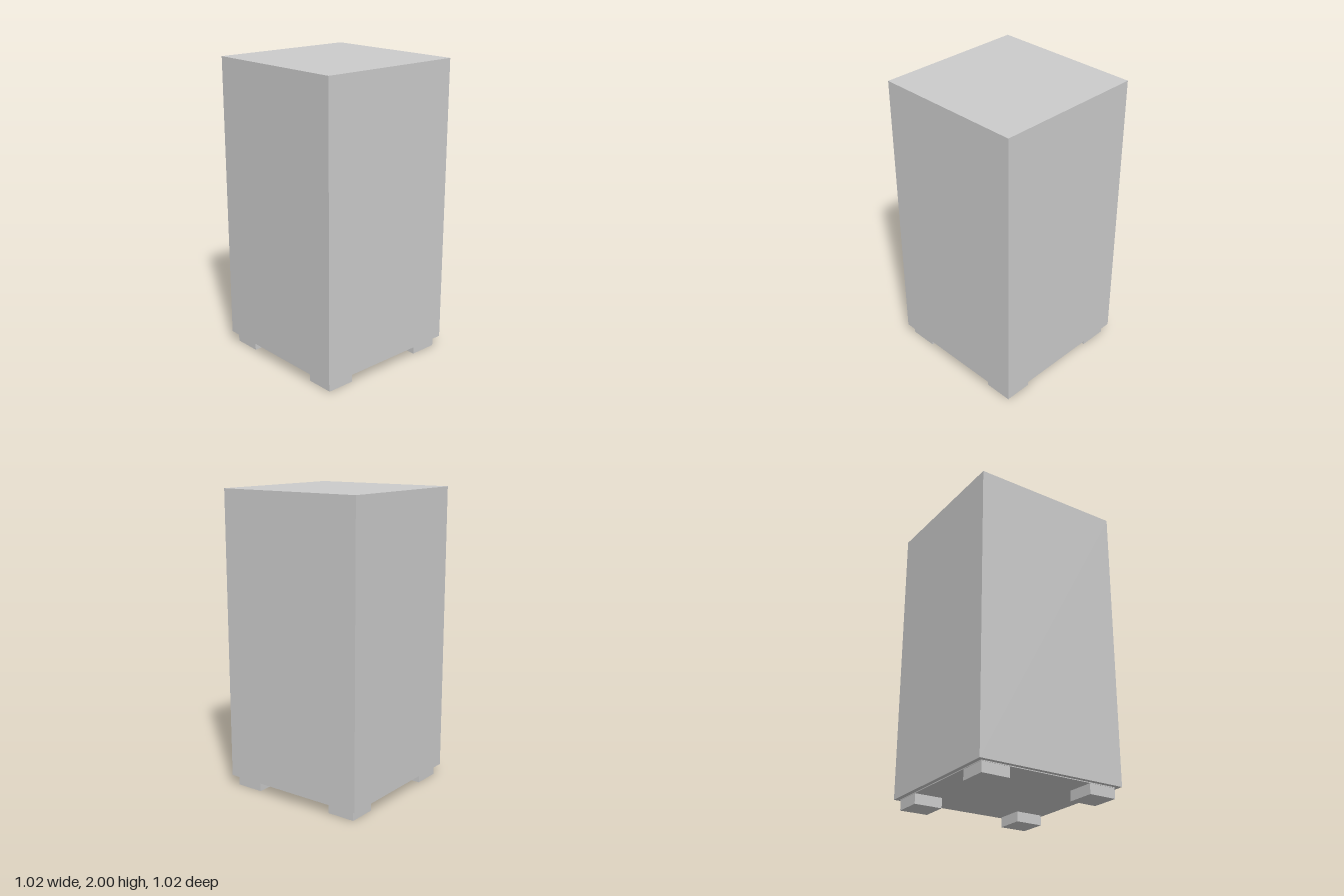
import * as THREE from 'three';

const material = new THREE.MeshStandardMaterial({ color: 0xcccccc, flatShading: true });

// Box given by its width (square plan), bottom and top heights
function block(name, width, bottom, top, x = 0, z = 0) {
  const mesh = new THREE.Mesh(new THREE.BoxGeometry(width, top - bottom, width), material);
  mesh.position.set(x, (bottom + top) / 2, z);
  mesh.name = name;
  return mesh;
}

export function createModel() {
  const model = new THREE.Group();
  model.name = 'pedestal';

  // Tall square body with a thin inset plate underneath
  model.add(block('body', 1.024, 0.072, 2));
  model.add(block('basePlate', 0.965, 0.067, 0.08));

  // Four square feet, one near each corner
  const feet = new THREE.Group();
  feet.name = 'feet';
  for (const x of [-1, 1]) {
    for (const z of [-1, 1]) {
      const name = `${z > 0 ? 'front' : 'back'}${x > 0 ? 'Left' : 'Right'}Foot`;
      feet.add(block(name, 0.192, 0, 0.07, x * 0.384, z * 0.384));
    }
  }
  model.add(feet);
  return model;
}
